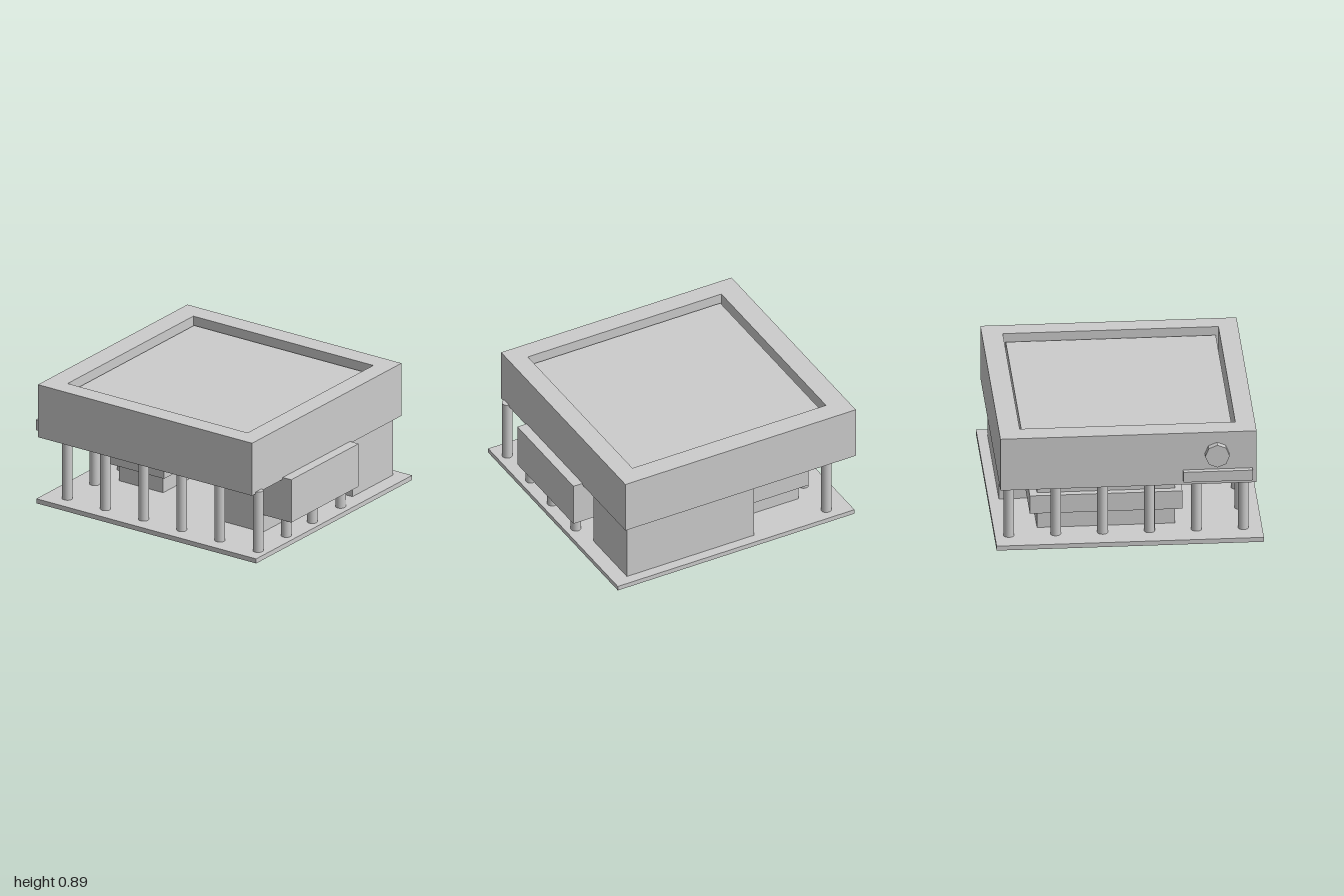
import * as THREE from 'three';

const material = new THREE.MeshStandardMaterial({ color: 0xcccccc });

export function createModel() {
  const model = new THREE.Group();
  model.name = 'pavilion';

  const add = (name, geometry, parent = model) => {
    const mesh = new THREE.Mesh(geometry, material);
    mesh.name = name;
    parent.add(mesh);
    return mesh;
  };

  // Box given by its limits along each axis
  const addBox = (name, [x0, x1], [y0, y1], [z0, z1], parent) => {
    const box = add(name, new THREE.BoxGeometry(x1 - x0, y1 - y0, z1 - z0), parent);
    box.position.set((x0 + x1) / 2, (y0 + y1) / 2, (z0 + z1) / 2);
    return box;
  };

  const floorY = 0.035, overhangY = 0.17, roofY = 0.485, roofTop = 0.89;

  // Ground slab
  addBox('base', [-0.925, 1], [0, floorY], [-0.955, 0.955]);

  // Roof frame: thick square ring with an open centre (shape y becomes -z)
  const rectangle = (path, x0, x1, z0, z1) => path
    .moveTo(x0, -z1).lineTo(x1, -z1).lineTo(x1, -z0).lineTo(x0, -z0).closePath();
  const outline = new THREE.Shape();
  rectangle(outline, -0.95, 0.925, -0.93, 0.9);
  const opening = new THREE.Path();
  rectangle(opening, -0.79, 0.785, -0.78, 0.76);
  outline.holes.push(opening);
  const roof = add('roofFrame', new THREE.ExtrudeGeometry(outline,
    { depth: roofTop - roofY, bevelEnabled: false }).rotateX(-Math.PI / 2));
  roof.position.y = roofY;

  // Sunken roof panel, separated from the frame by a narrow gap
  addBox('roofPanel', [-0.77, 0.77], [roofY, 0.83], [-0.76, 0.74]);

  // Rear room
  addBox('rearRoom', [-0.15, 0.885], [floorY, roofY], [-0.88, -0.385]);

  // Side room with an overhanging upper part
  const sideRoom = new THREE.Group();
  sideRoom.name = 'sideRoom';
  model.add(sideRoom);
  addBox('sideRoomLower', [0.37, 0.75], [floorY, overhangY], [-0.3, 0.525], sideRoom);
  addBox('sideRoomUpper', [0.37, 1], [overhangY, 0.5], [-0.3, 0.525], sideRoom);

  // Interior block with a wider band around its middle
  addBox('innerBlock', [-0.64, -0.255], [floorY, 0.47], [-0.645, 0.34]);
  addBox('innerBlockBand', [-0.69, -0.21], [overhangY, 0.31], [-0.7, 0.39]);

  // Columns: front row, side row and short supports below the overhang
  const columns = new THREE.Group();
  columns.name = 'columns';
  model.add(columns);
  const addColumn = (x, z, top) => {
    const height = top - floorY;
    add('column', new THREE.CylinderGeometry(0.038, 0.038, height, 16), columns)
      .position.set(x, floorY + height / 2, z);
  };
  for (let i = 0; i < 6; i++) addColumn(-0.75 + i * 0.334, 0.82, 0.5);
  for (let i = 1; i < 6; i++) addColumn(-0.75, 0.82 - i * 0.335, 0.5);
  for (const z of [0.475, 0.157, -0.19]) addColumn(0.92, z, overhangY);

  // Octagonal knob and ledge on the side of the roof
  const knobGeometry = new THREE.CylinderGeometry(0.0875, 0.0875, 0.05, 8)
    .rotateZ(Math.PI / 2).toNonIndexed();
  knobGeometry.computeVertexNormals();
  add('sideKnob', knobGeometry).position.set(-0.975, 0.7225, 0.617);
  addBox('sideLedge', [-0.99, -0.95], [0.52, 0.6], [0.375, 0.87]);

  return model;
}
